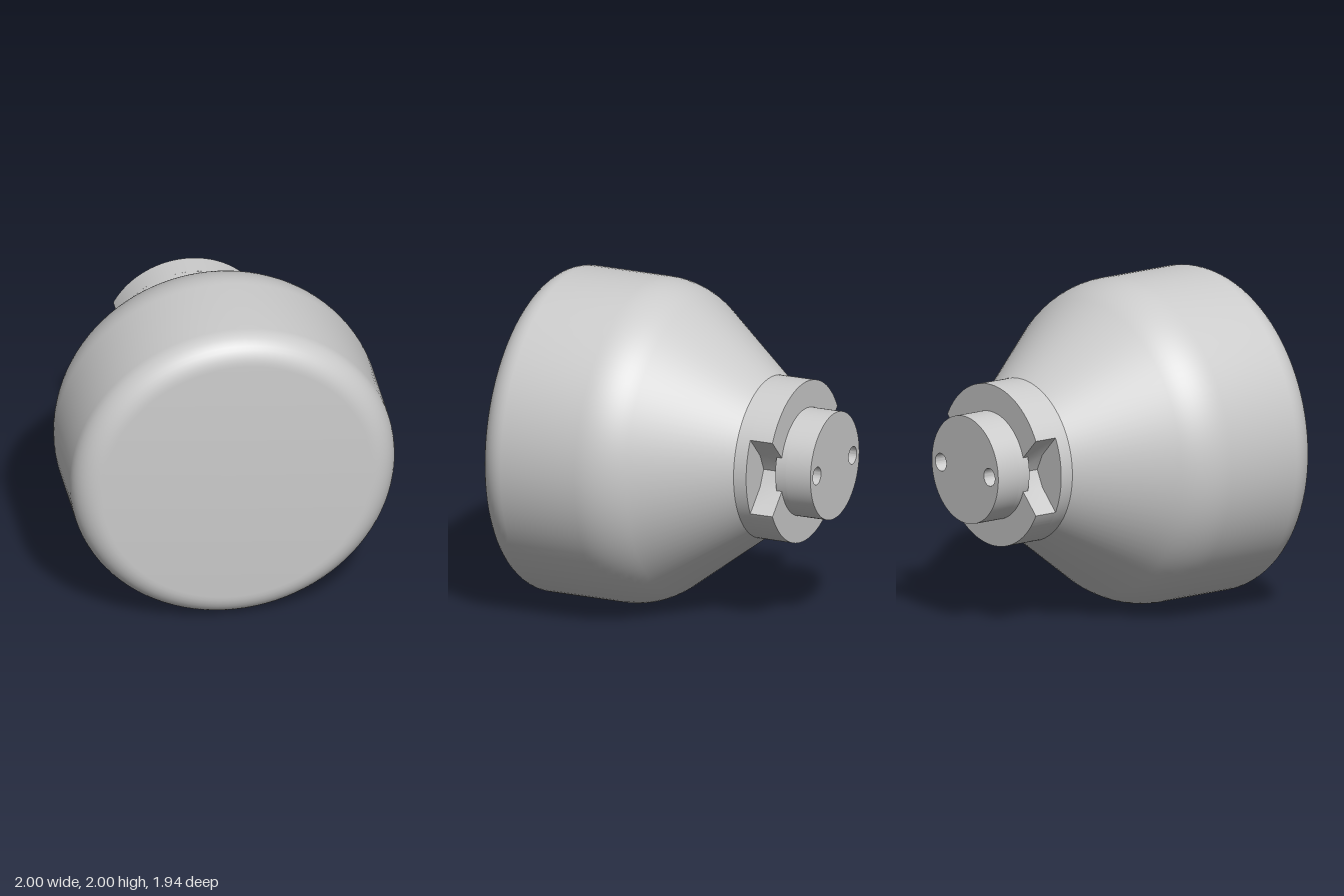
import * as THREE from 'three';
import { toCreasedNormals } from 'three/addons/utils/BufferGeometryUtils.js';

const material = new THREE.MeshStandardMaterial({ color: 0xcccccc });

function addPart(group, name, geometry) {
  const mesh = new THREE.Mesh(toCreasedNormals(geometry, 0.45), material);
  mesh.name = name;
  group.add(mesh);
}

// Extrude an outline in the xy plane between two depths
function slab(shape, zBack, zFront) {
  return new THREE.ExtrudeGeometry(shape, { depth: zFront - zBack, bevelEnabled: false, curveSegments: 48 })
    .translate(0, 0, zBack);
}

function disc(radius) {
  return new THREE.Shape().absarc(0, 0, radius, 0, Math.PI * 2, false);
}

// Points of a fillet in (radius, z), between two angles
function fillet(r, z, radius, from, to, steps) {
  return Array.from({ length: steps + 1 }, (_, i) => {
    const a = from + (to - from) * i / steps;
    return new THREE.Vector2(r + radius * Math.cos(a), z + radius * Math.sin(a));
  });
}

export function createModel() {
  const model = new THREE.Group();
  const axis = new THREE.Group(); // everything shares one axis along z at y = 1
  axis.name = 'body';
  axis.position.y = 1;
  model.add(axis);

  // Rounded housing: cone, soft shoulder, drum and rounded front rim
  const slope = Math.atan2(0.4, 0.53);
  const profile = [
    new THREE.Vector2(0, -0.53),
    new THREE.Vector2(0.5, -0.53),
    ...fillet(0.5, 0.3, 0.5, -slope, 0, 10),
    ...fillet(0.83, 0.8, 0.17, 0, Math.PI / 2, 10),
    new THREE.Vector2(0, 0.97),
  ];
  addPart(axis, 'housing', new THREE.LatheGeometry(profile, 96).rotateX(Math.PI / 2));

  // Full ring behind the cone
  addPart(axis, 'collar', slab(disc(0.5), -0.615, -0.53));

  // Two locking lobes separated by wedge notches on the left and right
  const a = 0.4835;
  const lobes = new THREE.Shape();
  lobes.absarc(0, 0, 0.5, a, Math.PI - a, false);
  lobes.lineTo(-0.31, 0.1);
  lobes.lineTo(-0.26, 0);
  lobes.lineTo(-0.31, -0.1);
  lobes.absarc(0, 0, 0.5, Math.PI + a, 2 * Math.PI - a, false);
  lobes.lineTo(0.31, -0.1);
  lobes.lineTo(0.26, 0);
  lobes.lineTo(0.31, 0.1);
  lobes.closePath();
  addPart(axis, 'lockingLobes', slab(lobes, -0.765, -0.615));

  // Rear stub with two blind pin holes
  addPart(axis, 'stubBase', slab(disc(0.333), -0.8, -0.73));
  const stub = disc(0.333);
  for (const side of [-1, 1]) {
    stub.holes.push(new THREE.Path().absarc(side * 0.243, 0, 0.055, 0, Math.PI * 2, true));
  }
  addPart(axis, 'stub', slab(stub, -0.967, -0.8));

  return model;
}
